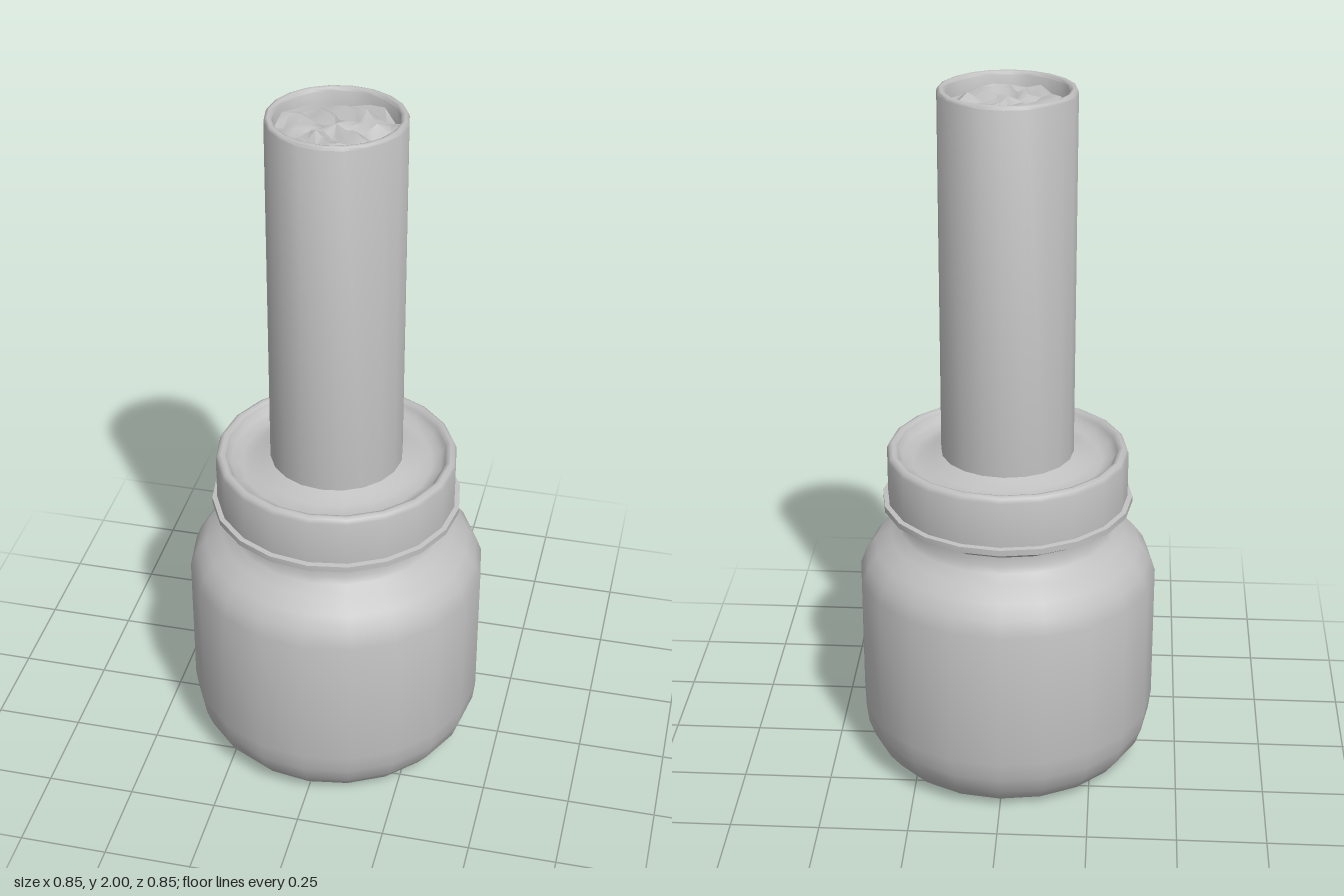
import * as THREE from 'three';
import { toCreasedNormals } from 'three/addons/utils/BufferGeometryUtils.js';

const SIDES = 20;

export function createModel() {
  const model = new THREE.Group();
  model.name = 'jarWithTube';
  const grey = new THREE.MeshStandardMaterial({ color: 0xc0c0c0 });
  grey.name = 'grey';

  // Turns a [radius, height] profile, optionally reshaping its heights
  function turned(name, profile, crease, lift) {
    const points = profile.map(([r, y]) => new THREE.Vector2(r, y));
    const geometry = new THREE.LatheGeometry(points, SIDES);
    if (lift) {
      const p = geometry.attributes.position;
      for (let i = 0; i < p.count; i++) {
        p.setY(i, p.getY(i) + lift(p.getX(i), p.getZ(i)));
      }
    }
    const mesh = new THREE.Mesh(toCreasedNormals(geometry, crease), grey);
    mesh.name = name;
    model.add(mesh);
  }

  // Rounded jar body up to the narrow neck
  turned('jarBody', [
    [0, 0.005], [0.325, 0.005], [0.365, 0.03], [0.4, 0.075], [0.418, 0.125],
    [0.425, 0.18], [0.425, 0.585], [0.408, 0.63], [0.38, 0.668],
    [0.335, 0.7], [0.307, 0.722], [0.296, 0.74], [0.296, 0.768],
  ], 0.7);

  // Flared flange, straight collar and rounded rim
  turned('collar', [
    [0.296, 0.768], [0.315, 0.785], [0.355, 0.803], [0.355, 0.82],
    [0.341, 0.822], [0.341, 0.953], [0.336, 0.965], [0.326, 0.97],
    [0.316, 0.967], [0.31, 0.957],
  ], 0.8);

  // Shallow dished filling around the tube
  turned('filling', [
    [0.31, 0.957], [0.298, 0.94], [0.27, 0.931], [0.235, 0.938],
    [0.205, 0.95], [0.18, 0.96],
  ], 1);

  // Hollow upright tube with a slim rounded lip
  turned('tube', [
    [0.187, 0.9], [0.187, 1.99], [0.184, 1.997], [0.177, 2],
    [0.169, 1.997], [0.165, 1.99], [0.165, 1.91],
  ], 0.8);

  // Uneven material packed just below the tube's lip
  const lumps = (x, z) =>
    0.013 * Math.sin(61 * x + 1.3) * Math.cos(53 * z + 0.4) +
    0.01 * Math.sin(97 * z - 41 * x);
  turned('tubeFilling', [
    [0.166, 1.95], [0.14, 1.96], [0.105, 1.965], [0.07, 1.96], [0.035, 1.962], [0, 1.965],
  ], 0.9, lumps);

  return model;
}
